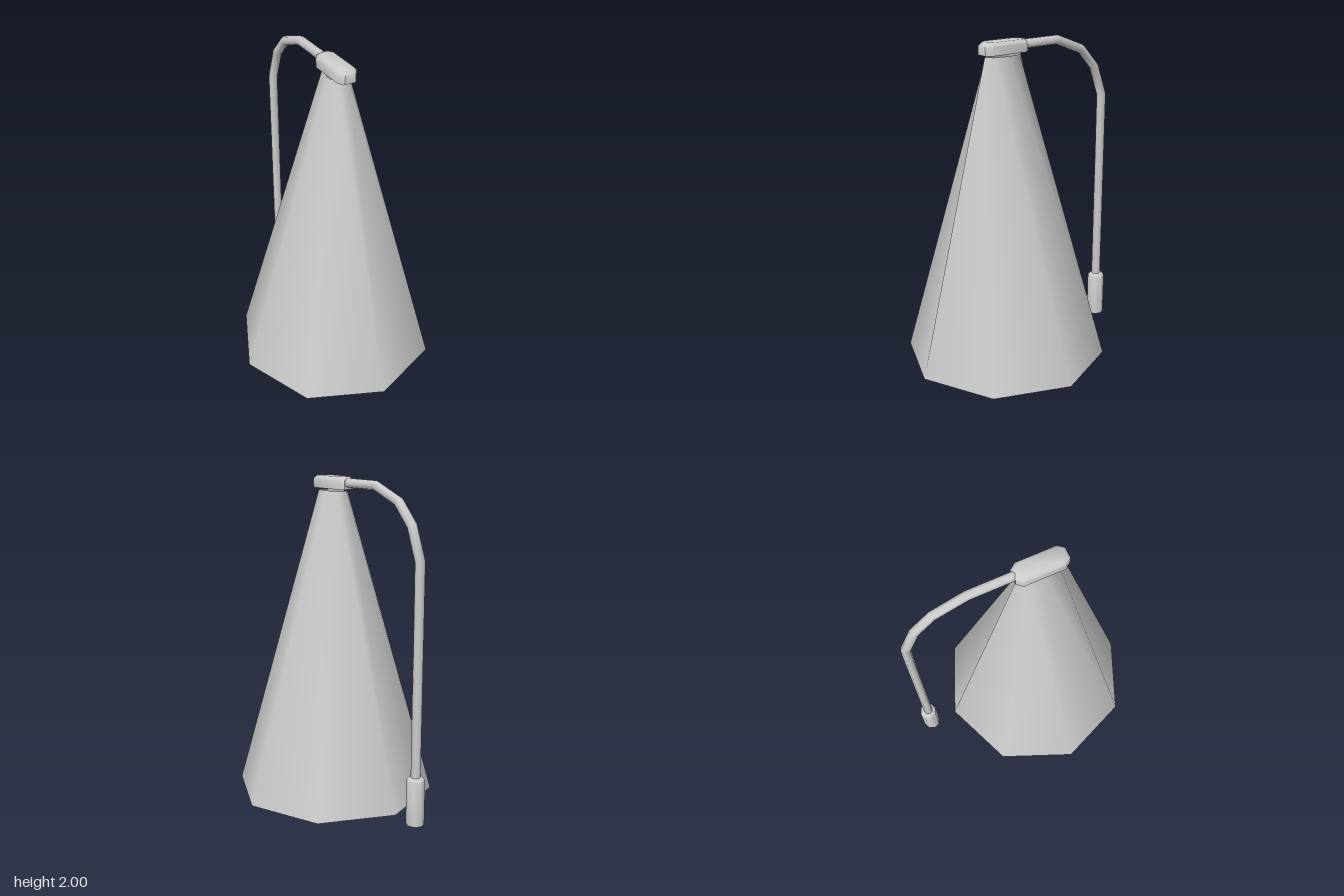
import * as THREE from 'three';
import { toCreasedNormals } from 'three/addons/utils/BufferGeometryUtils.js';

const V = (x, y, z) => new THREE.Vector3(x, y, z);

// Skin a list of equal-length rings; optionally close the first and last ring
function loft(rings, capStart = false, capEnd = false) {
  const n = rings[0].length, last = (rings.length - 1) * n, index = [];
  for (let j = 0; j < rings.length - 1; j++) {
    for (let i = 0; i < n; i++) {
      const a = j * n + i, b = j * n + (i + 1) % n;
      index.push(a, a + n, b + n, a, b + n, b);
    }
  }
  for (let k = 1; k < n - 1; k++) {
    if (capStart) index.push(0, k, k + 1);
    if (capEnd) index.push(last, last + k + 1, last + k);
  }
  const g = new THREE.BufferGeometry().setFromPoints(rings.flat());
  g.setIndex(index);
  g.computeVertexNormals();
  return g;
}

// Eight-sided horizontal ring with its corners on the axes
function octagon(y, z, rx, rz = rx) {
  return Array.from({ length: 8 }, (_, i) => {
    const a = i * Math.PI / 4;
    return V(rx * Math.cos(a), y, z + rz * Math.sin(a));
  });
}

// Oblong horizontal ring with cut corners
function oblong(y, z, hx, hz, cut) {
  return [[hx, -hz + cut], [hx, hz - cut], [hx - cut * 0.75, hz], [-hx + cut * 0.75, hz],
    [-hx, hz - cut], [-hx, -hz + cut], [-hx + cut * 0.75, -hz], [hx - cut * 0.75, -hz]]
    .map(([x, dz]) => V(x, y, z + dz));
}

// Mitred eight-sided rings along a path lying in the x = 0 plane
function sweep(path, radius) {
  return path.map((p, k) => {
    const before = p.clone().sub(path[Math.max(k - 1, 0)]).normalize();
    const after = path[Math.min(k + 1, path.length - 1)].clone().sub(p).normalize();
    const t = before.clone().add(after).normalize();
    const across = V(1, 0, 0).cross(t).divideScalar(Math.max(t.dot(before), t.dot(after)));
    return Array.from({ length: 8 }, (_, i) => {
      const a = i * Math.PI / 4;
      return p.clone().add(V(radius * Math.cos(a), 0, 0)).addScaledVector(across, radius * Math.sin(a));
    });
  });
}

export function createModel() {
  const group = new THREE.Group();
  const solid = new THREE.MeshStandardMaterial({ color: 0xcccccc });
  const open = new THREE.MeshStandardMaterial({ color: 0xcccccc, side: THREE.DoubleSide });
  const add = (name, geometry, material) => {
    const mesh = new THREE.Mesh(geometry, material);
    mesh.name = name;
    group.add(mesh);
  };

  // Open beam of light, from the lamp head down to the ground
  add('lightCone', loft([octagon(0, 0.116, 0.633), octagon(1.912, 0.122, 0.055, 0.135)]), open);

  // Lamp head with a bevelled top
  const head = loft([
    oblong(1.925, 0.119, 0.062, 0.158, 0.038),
    oblong(1.98, 0.119, 0.062, 0.158, 0.038),
    oblong(2, 0.119, 0.044, 0.138, 0.03),
  ], true, true);
  add('lampHead', toCreasedNormals(head, 0.9), solid);

  // Post bending over into the arm
  const path = [[0.29, -0.692], [1.575, -0.692], [1.765, -0.618], [1.888, -0.5],
    [1.963, -0.3], [1.963, -0.02]].map(([y, z]) => V(0, y, z));
  add('post', loft(sweep(path, 0.029)), open);

  // Thicker foot sleeve, open underneath
  const foot = loft([octagon(0.015, -0.694, 0.055), octagon(0.295, -0.694, 0.055),
    octagon(0.31, -0.694, 0.042)], false, true);
  add('postFoot', toCreasedNormals(foot, 0.9), open);

  return group;
}
